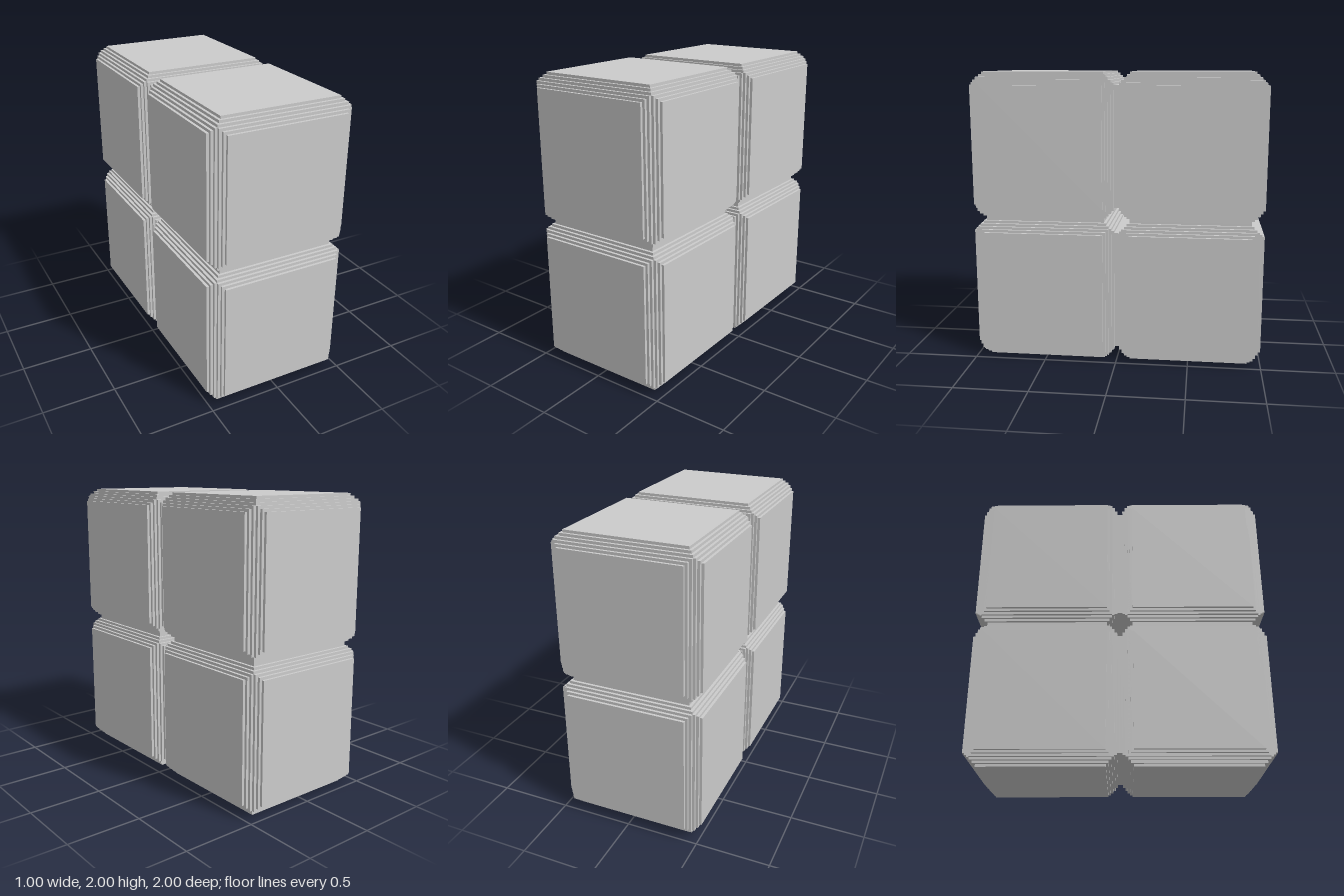
import * as THREE from 'three';
import { mergeGeometries } from 'three/addons/utils/BufferGeometryUtils.js';

const STEPS = 5;       // stair steps along each bevelled edge
const STEP = 0.0177;   // size of one step
const HALF = 0.5;      // half the side of one cube

// Square outline inset by m steps, its corners cut as stairs
function outline(m) {
  const at = (i) => HALF - i * STEP;
  const corner = [];
  for (let i = m; ; i++) {
    const inset = Math.max(m, STEPS - i);
    corner.push([at(i), at(inset)]);
    if (inset === m) break;
    corner.push([at(i + 1), at(inset)]);
  }
  const points = [];
  for (let turn = 0; turn < 4; turn++) {
    for (const [x, y] of corner) {
      points.push([
        new THREE.Vector2(x, y), new THREE.Vector2(-y, x),
        new THREE.Vector2(-x, -y), new THREE.Vector2(y, -x),
      ][turn]);
    }
  }
  return new THREE.Shape(points);
}

// Cube with stepped edges: nested upright prisms, the tallest being the narrowest
function steppedCube() {
  const layers = [];
  for (let k = 0; k <= STEPS; k++) {
    const height = 2 * (HALF - k * STEP);
    const layer = new THREE.ExtrudeGeometry(outline(STEPS - k), { depth: height, bevelEnabled: false });
    layer.translate(0, 0, -height / 2);
    layer.rotateX(-Math.PI / 2);
    layers.push(layer);
  }
  return mergeGeometries(layers);
}

export function createModel() {
  const model = new THREE.Group();
  model.name = 'cubeBlock';
  const material = new THREE.MeshStandardMaterial({ color: 0xcccccc, flatShading: true });
  const geometry = steppedCube();

  // Two by two cubes, one deep in x
  for (const [level, y] of [['lower', 0.5], ['upper', 1.5]]) {
    for (const [side, z] of [['Front', 0.5], ['Back', -0.5]]) {
      const cube = new THREE.Mesh(geometry, material);
      cube.name = `${level}${side}Cube`;
      cube.position.set(0, y, z);
      model.add(cube);
    }
  }
  return model;
}
